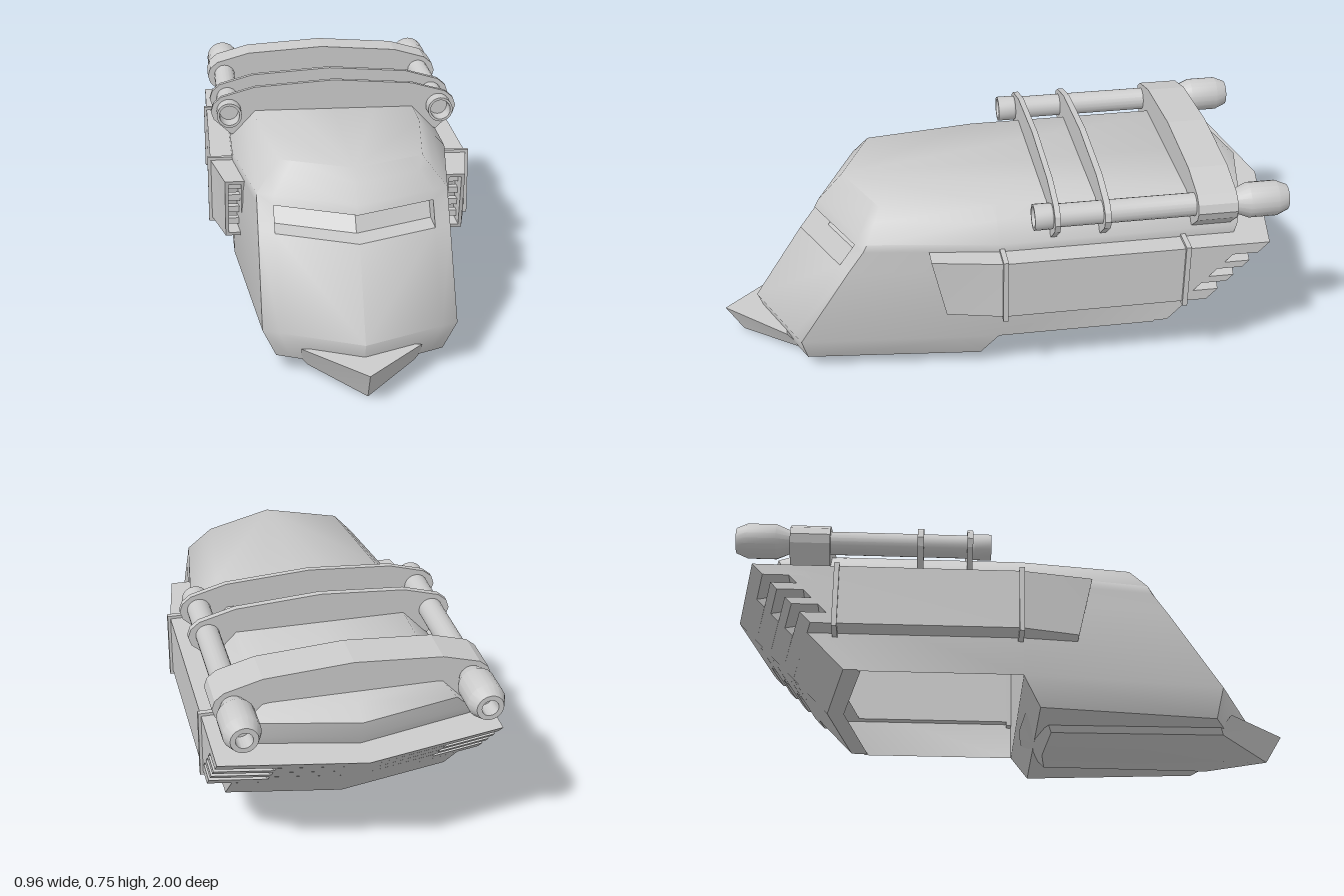
import * as THREE from 'three';
import { toCreasedNormals } from 'three/addons/utils/BufferGeometryUtils.js';

const grey = new THREE.MeshStandardMaterial({ color: 0xcccccc, side: THREE.DoubleSide });

function mesh(name, geo, parent) {
  const m = new THREE.Mesh(geo, grey);
  m.name = name;
  parent.add(m);
  return m;
}

// Skin from convex polygons given for the +x half, mirrored to -x
function mirroredSkin(polys, crease) {
  const pos = [];
  const flip = ([x, y, z]) => [-x, y, z];
  for (const p of polys) {
    for (let i = 1; i < p.length - 1; i++) {
      pos.push(...p[0], ...p[i], ...p[i + 1]);
      pos.push(...flip(p[0]), ...flip(p[i + 1]), ...flip(p[i]));
    }
  }
  const g = new THREE.BufferGeometry();
  g.setAttribute('position', new THREE.Float32BufferAttribute(pos, 3));
  return toCreasedNormals(g, crease);
}

// Horizontal plan of [x, z] points, raised from y0 to y1 and raked backwards
function rakedSlab(half, y0, y1, rake, yRef) {
  const pts = [...half, ...half.slice(1, -1).reverse().map(([x, z]) => [-x, z])];
  const shape = new THREE.Shape(pts.map(([x, z]) => new THREE.Vector2(x, -z)));
  const g = new THREE.ExtrudeGeometry(shape, { depth: y1 - y0, bevelEnabled: false });
  g.rotateX(-Math.PI / 2).translate(0, y0, 0);
  const p = g.attributes.position;
  for (let i = 0; i < p.count; i++) p.setZ(i, p.getZ(i) - rake * (p.getY(i) - yRef));
  g.computeVertexNormals();
  return g;
}

function hull(parent) {
  // y, front half width, front z, rear half width, middle z, rear z
  const levels = [
    [0.05, 0.28, 0.84, 0.345, 0.09, 0.09],
    [0.15, 0.325, 0.88, 0.39, 0.03, -0.62],
    [0.43, 0.325, 0.70, 0.39, 0.03, -0.88],
    [0.51, 0.325, 0.645, 0.39, 0.03, -0.89],
    [0.54, 0.325, 0.63, 0.39, 0.03, -0.90],
    [0.60, 0.277, 0.576, 0.333, 0.03, -0.91],
    [0.64, 0.245, 0.54, 0.295, 0.03, -0.85],
  ];
  const rows = levels.map(([y, w, z, wr, zm, zb]) => [
    [0, y, z], [w * 0.83, y, z - w * 0.83 * 0.46], [w, y, z - w * 0.46],
    [wr, y, zm], [wr, y, zb + wr * 0.22], [0, y, zb],
  ]);
  const polys = [];
  for (let j = 0; j < rows.length - 1; j++) {
    for (let i = 0; i < 5; i++) {
      const slit = j === 2 && i === 0;
      const openRear = (j === 0 && i > 2) || (j < 3 && i === 4);
      if (slit || openRear) continue;
      polys.push([rows[j][i], rows[j][i + 1], rows[j + 1][i + 1], rows[j + 1][i]]);
    }
  }
  const top = rows[6], low = rows[0];
  polys.push(top);
  // Belly and the step up to the open rear
  polys.push([[0, 0.05, 0.09], low[3], low[2], low[1], low[0]]);
  polys.push([[0, 0.05, 0.09], [0, 0.15, 0.03], rows[1][3], low[3]]);
  mesh('hull', mirroredSkin(polys, 0.95), parent);

  // Recessed viewing slit
  const back = (p, d) => [p[0], p[1], p[2] - d];
  const [A0, A1] = rows[2], [B0, B1] = rows[3];
  const a0 = back(A0, 0.1), a1 = back(A1, 0.1), b0 = back(B0, 0.11), b1 = back(B1, 0.11);
  mesh('viewSlit', mirroredSkin([
    [A0, A1, a1, a0], [a0, a1, b1, b0], [b0, b1, B1, B0], [a1, A1, B1, b1],
  ], 0.2), parent);

  // Wall closing the front of the hollow rear bay
  const wall = [[0, 0.15, 0.03], [0, 0.64, 0.03], ...rows.slice(1).reverse().map((r) => r[3])];
  mesh('bulkhead', mirroredSkin([wall], 0.2), parent);
}

function chinPlate(parent) {
  const tip = [0, 0.1, 1], keel = [0, 0, 0.94];
  const t1 = [0.2, 0.1, 0.78], e1 = [0.18, 0.03, 0.75], c1 = [0, 0, 0.75];
  const t2 = [0.2, 0.05, 0.74], t3 = [0.19, 0.05, 0.13], e3 = [0.17, 0.03, 0.14], c3 = [0, 0.01, 0.12];
  const r = [0.15, 0.11, 0.05], rc = [0, 0.11, 0.04];
  mesh('chinPlate', mirroredSkin([
    [tip, t1, [0, 0.1, 0.78]], [tip, keel, e1, t1], [keel, c1, e1],
    [t1, e1, t2], [[0, 0.1, 0.78], t1, t2, [0, 0.05, 0.74]],
    [c1, c3, e3, e1], [e1, e3, t3, t2], [c3, rc, r, e3], [e3, r, t3],
  ], 0.3), parent);
}

function sidePods(parent) {
  const corners = (x0, x1, zLow, zTop, m = 0) => [
    [x0 + m, 0.29 + m, zLow], [x1 - m, 0.29 + m, zLow], [x1 - m, 0.51 - m, zTop], [x0 + m, 0.51 - m, zTop]];
  const front = corners(0.357, 0.425, 0.22, 0.27);
  const lip = corners(0.357, 0.425, 0.223, 0.267, 0.012);
  const deep = corners(0.357, 0.425, 0.12, 0.16, 0.012);
  const mid = corners(0.36, 0.47, 0.02, 0.02);
  const rear = corners(0.36, 0.47, -0.6, -0.81);
  const polys = [deep];
  for (let k = 0; k < 4; k++) {
    const n = (k + 1) % 4;
    polys.push([front[k], mid[k], mid[n], front[n]], [mid[k], rear[k], rear[n], mid[n]]);
    polys.push([front[k], front[n], lip[n], lip[k]], [lip[k], lip[n], deep[n], deep[k]]);
  }
  mesh('sidePods', mirroredSkin(polys, 0.15), parent);

  for (const s of [-1, 1]) {
    for (const z of [0.02, -0.62]) {
      mesh('podBand', new THREE.BoxGeometry(0.12, 0.245, 0.018), parent).position.set(s * 0.42, 0.398, z);
    }
    // Vent bars inside the intake
    for (let i = 0; i < 4; i++) {
      mesh('intakeBar', new THREE.BoxGeometry(0.05, 0.022, 0.03), parent)
        .position.set(s * 0.391, 0.33 + i * 0.047, 0.165 + i * 0.008);
    }
  }
}

function tail(parent) {
  const rake = 0.96;
  // Lower chevron between the hull sides
  mesh('lowerTail', rakedSlab(
    [[0, -0.66], [0.39, -0.586], [0.39, -0.525], [0, -0.6]], 0.155, 0.29, rake, 0.155), parent);
  // Upper chevron in layers, every second one cut back at the corners as a vent slot
  const solid = [[0, -0.79], [0.47, -0.70], [0.47, -0.54], [0, -0.63]];
  const slotted = [[0, -0.79], [0.28, -0.737], [0.31, -0.66], [0.38, -0.61], [0.47, -0.61], [0.47, -0.54], [0, -0.63]];
  const ys = [0.29, 0.33, 0.36, 0.385, 0.415, 0.44, 0.47, 0.51];
  for (let i = 0; i < ys.length - 1; i++) {
    const cut = i % 2 === 1;
    mesh(cut ? 'tailVentLayer' : 'tailLayer', rakedSlab(cut ? slotted : solid, ys[i], ys[i + 1], rake, 0.29), parent);
  }
}

function roofRack(parent) {
  // Hoops across the roof
  const half = [[0, 0.75], [0.295, 0.73], [0.42, 0.695], [0.45, 0.67], [0.46, 0.64], [0.45, 0.61], [0.385, 0.55], [0.3, 0.6], [0, 0.6]];
  const pts = [...half, ...half.slice(1, -1).reverse().map(([x, y]) => [-x, y])];
  const shape = new THREE.Shape(pts.map(([x, y]) => new THREE.Vector2(x, y)));
  for (const [z, depth] of [[-0.17, 0.02], [-0.345, 0.022], [-0.79, 0.14]]) {
    const g = new THREE.ExtrudeGeometry(shape, { depth, bevelEnabled: false });
    mesh('roofHoop', g, parent).position.z = z;
  }
  // Long tubes with hollow ends, radius against distance to the rear
  const profile = [[0, 0.16], [0.034, 0.16], [0.037, 0.085], [0.046, 0.085], [0.046, 0.145], [0.041, 0.155], [0.041, 0.79],
    [0.062, 0.84], [0.062, 0.94], [0.045, 0.98], [0.028, 0.98], [0.026, 0.92], [0, 0.92]];
  for (const s of [-1, 1]) {
    const g = new THREE.LatheGeometry(profile.map(([r, d]) => new THREE.Vector2(r, d)), 20);
    g.rotateX(-Math.PI / 2);
    mesh('roofTube', toCreasedNormals(g, 0.4), parent).position.set(s * 0.393, 0.642, 0);
  }
}

export function createModel() {
  const model = new THREE.Group();
  model.name = 'armouredPod';
  for (const build of [hull, chinPlate, sidePods, tail, roofRack]) build(model);
  return model;
}
